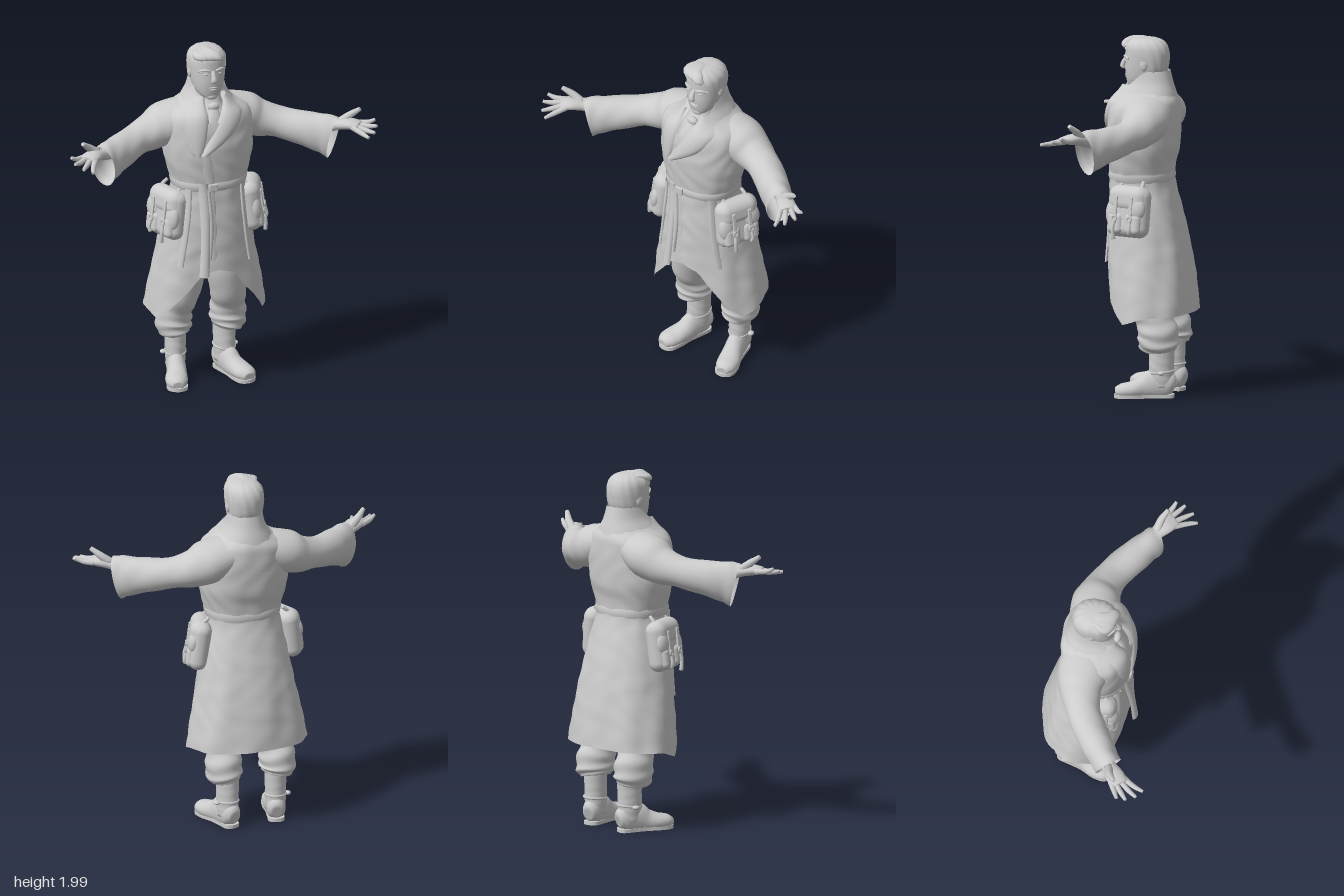
import * as THREE from 'three';
import { RoundedBoxGeometry } from 'three/addons/geometries/RoundedBoxGeometry.js';

const mat = new THREE.MeshStandardMaterial({ color: 0xcccccc, side: THREE.DoubleSide });
const { lerp, smoothstep } = THREE.MathUtils;

// Body profiles, bottom to top: [y, half width, front z, back z]
const COAT = [[.4, .345, .13, -.362], [.6, .315, .14, -.342], [.8, .277, .14, -.312], [1, .242, .14, -.267],
  [1.2, .207, .135, -.217], [1.28, .224, .14, -.222], [1.38, .247, .15, -.245], [1.5, .25, .15, -.252],
  [1.58, .25, .14, -.252], [1.635, .23, .122, -.245], [1.68, .15, .095, -.225], [1.73, .11, .06, -.205], [1.78, .09, .03, -.188]];
const HEAD = [[1.692, .014, .022, -.02], [1.712, .05, .036, -.07], [1.75, .078, .046, -.13], [1.8, .092, .053, -.172],
  [1.85, .098, .053, -.184], [1.9, .1, .053, -.186], [1.94, .094, .05, -.175], [1.968, .073, .034, -.15], [1.984, .04, .005, -.11], [1.989, 0, -.05, -.05]];
const SHIRT = [[1.52, .13, .12, -.15], [1.62, .1, .085, -.14], [1.68, .075, .045, -.14], [1.74, .065, .015, -.14]];
const COLLAR = [[1.64, .165, .11, -.235], [1.69, .133, .085, -.222], [1.74, .103, .055, -.207], [1.81, .084, .03, -.19]];

// Smooth lookup of a profile at height y
function at(table, y) {
  const last = table.length - 1;
  y = Math.min(Math.max(y, table[0][0]), table[last][0]);
  let i = 0;
  while (i < last - 1 && y > table[i + 1][0]) i++;
  const a = table[i], b = table[i + 1], p = table[Math.max(i - 1, 0)], q = table[Math.min(i + 2, last)];
  const h = b[0] - a[0], t = (y - a[0]) / h, t2 = t * t, t3 = t2 * t;
  return [1, 2, 3].map(k => (2 * t3 - 3 * t2 + 1) * a[k] + (3 * t2 - 2 * t3) * b[k]
    + (t3 - 2 * t2 + t) * h * (b[k] - p[k]) / (b[0] - p[0]) + (t3 - t2) * h * (q[k] - a[k]) / (q[0] - a[0]));
}

// Skin over rows of points
function skin(rows, closed = true) {
  const n = rows[0].length, idx = [];
  for (let i = 0; i < rows.length - 1; i++)
    for (let j = 0; j < (closed ? n : n - 1); j++) {
      const a = i * n + j, b = i * n + (j + 1) % n;
      idx.push(a, b, a + n, b, b + n, a + n);
    }
  const g = new THREE.BufferGeometry();
  g.setAttribute('position', new THREE.BufferAttribute(new Float32Array(rows.flat(2)), 3));
  g.setIndex(idx);
  g.computeVertexNormals();
  return g;
}

// Skin round a profile; lower and upper edges vary with the angle from the front
function shell(table, lo, hi, { grow = 0, fold = () => 0, gap = 0, rows = 24, n = 56 } = {}) {
  const pw = v => Math.sign(v) * Math.abs(v) ** .9;
  const out = [];
  for (let i = 0; i <= rows; i++) {
    const row = [];
    for (let j = 0; j < n; j++) {
      const th = gap ? lerp(gap, 2 * Math.PI - gap, j / (n - 1)) : j / n * 2 * Math.PI;
      const a = Math.min(th, 2 * Math.PI - th);
      const y = lerp(lo(a), hi(a), Math.sin(i / rows * Math.PI / 2));
      const [rx, zf, zb] = at(table, y), g = grow + fold(th, y);
      row.push([(rx + g) * pw(Math.sin(th)), y, (zf + zb) / 2 + ((zf - zb) / 2 + g) * pw(Math.cos(th))]);
    }
    out.push(row);
  }
  return skin(out, !gap);
}

// Limb with oval sections: points [x, y, z, radius along ref, radius across]
function limb(pts, { ref = [0, 1, 0], steps = 20, n = 16, open = false, wave = 0, floor = -1 } = {}) {
  const path = new THREE.CatmullRomCurve3(pts.map(p => new THREE.Vector3(p[0], p[1], p[2])));
  const rad = new THREE.CatmullRomCurve3(pts.map(p => new THREE.Vector3(p[3], p[4] ?? p[3], 0)));
  const R = new THREE.Vector3(...ref), rows = [];
  for (let i = 0; i <= steps; i++) {
    const t = i / steps, c = path.getPoint(t), r = rad.getPoint(t), T = path.getTangent(t);
    const A = T.clone().cross(R).normalize(), B = A.clone().cross(T);
    const ring = k => Array.from({ length: n }, (_, j) => {
      const th = j / n * 2 * Math.PI, w = k * (1 + wave * Math.sin(t * 34 + 2.5 * Math.sin(th + 1) + Math.cos(2 * th)) * t);
      const v = c.clone().addScaledVector(A, r.y * w * Math.sin(th)).addScaledVector(B, r.x * w * Math.cos(th));
      return [v.x, Math.max(v.y, floor), v.z];
    });
    if (i === 0 && !open) rows.push(ring(0), ring(.7));
    rows.push(ring(1));
    if (i === steps && !open) rows.push(ring(.7), ring(0));
  }
  return skin(rows);
}

// Raised strip lying on the coat front: points [x left, x right, y, lift]
function strip(pts, bulge) {
  const edge = new THREE.CatmullRomCurve3(pts.map(p => new THREE.Vector3(p[0], p[1], p[2])));
  const lift = new THREE.CatmullRomCurve3(pts.map(p => new THREE.Vector3(p[3] ?? 0, 0, p[2])));
  const rows = [];
  for (let i = 24; i >= 0; i--) {
    const e = edge.getPoint(i / 24), l = lift.getPoint(i / 24).x, row = [];
    for (let j = 0; j <= 10; j++) {
      const x = lerp(e.x, e.y, j / 10), [rx, zf, zb] = at(COAT, e.z);
      const u = Math.min(Math.abs(x / rx), .97) ** (2 / .9);
      row.push([x, e.z, (zf + zb) / 2 + (zf - zb) / 2 * (1 - u) ** .45 - .006 + l
        + bulge * Math.sqrt(Math.sin(Math.PI * j / 10))]);
    }
    rows.push(row);
  }
  return skin(rows, false);
}

export function createModel() {
  const model = new THREE.Group();
  const add = (name, geo, parent = model, pos = [0, 0, 0]) => {
    const m = new THREE.Mesh(geo, mat);
    m.name = name;
    m.position.set(...pos);
    parent.add(m);
    return m;
  };
  const blob = (name, pos, size, parent) => add(name, new THREE.SphereGeometry(1, 16, 12), parent, pos).scale.set(...size);

  // Long coat, with its hem swept up at the front
  const HEM = [[0, .73, 0, 0], [.28, .7, 0, 0], [.5, .61, 0, 0], [.8, .505, 0, 0], [1.08, .42, 0, 0], [1.3, .435, 0, 0], [1.6, .462, 0, 0], [3.15, .478, 0, 0]];
  const hem = a => {
    const i = Math.max(1, HEM.findIndex(h => h[0] >= a)), [p, q] = [HEM[i - 1], HEM[i]];
    return lerp(p[1], q[1], (a - p[0]) / (q[0] - p[0]));
  };
  const folds = (th, y) => .005 * Math.cos(th * 8 + Math.sin(y * 5)) * smoothstep(1.2 - y, 0, .6)
    + .0035 * Math.sin(th * 7 + 2 * Math.sin(y * 19)) * Math.sin(y * 27 + 2 * Math.sin(th * 3));
  add('coat', shell(COAT, hem, a => 1.6 + .17 * smoothstep(a, .3, 1.3), { fold: folds, rows: 60, n: 80 }));
  const collarTop = a => 1.7 + .105 * smoothstep(a, .5, 1.7);
  add('collar', shell(COLLAR, () => 1.64, collarTop, { gap: .5, grow: .006 }));
  add('collarLining', shell(COLLAR, () => 1.66, collarTop, { gap: .5, grow: -.006 }));
  add('rightLapel', strip([[-.09, -.05, 1.73], [-.14, -.055, 1.69], [-.18, -.05, 1.62], [-.18, -.065, 1.52], [-.16, -.085, 1.44], [-.14, -.1, 1.415]], .022));
  add('leftLapel', strip([[.05, .09, 1.73], [.045, .135, 1.69], [.015, .16, 1.63], [-.03, .115, 1.55], [-.07, .03, 1.48], [-.11, -.06, 1.42]], .025));
  add('coatOverlap', strip([[-.11, -.05, 1.43], [-.09, -.02, 1.3], [-.07, -.01, 1.1], [-.06, 0, .9], [-.05, .01, .73]], .01));

  // Belt, its hanging ends and buckle
  add('belt', shell(COAT, () => 1.195, () => 1.245, { fold: (th, y) => .006 - ((y - 1.22) / .025) ** 2 * .006, rows: 8 }));
  add('buckle', new RoundedBoxGeometry(.05, .045, .014, 3, .006), model, [-.03, 1.22, .143]);
  add('beltTail', strip([[-.11, -.06, 1.25, .008], [-.105, -.05, 1.1, .013], [-.105, -.055, .9, .03], [-.12, -.065, .71, .048]], .016));
  add('beltEnd', strip([[-.075, -.045, 1.22, .008], [-.065, -.03, 1, .015], [-.07, -.045, .8, .025]], .014));

  // Shirt, scarf knot and head
  add('shirt', shell(SHIRT, () => 1.52, () => 1.74));
  blob('scarfKnot', [0, 1.67, .06], [.034, .024, .022]);
  add('scarfEnd', limb([[0, 1.66, .065, .012, .025], [-.01, 1.6, .1, .014, .04], [-.03, 1.53, .13, .012, .04]], { ref: [0, 0, 1] }));
  const head = new THREE.Group();
  head.name = 'head';
  model.add(head);
  add('neck', limb([[0, 1.58, -.07, .07], [0, 1.7, -.065, .066], [0, 1.8, -.07, .065]], { ref: [0, 0, 1] }), head);
  add('face', shell(HEAD, () => 1.692, () => 1.989, { rows: 36 }), head);
  add('nose', limb([[0, 1.875, .046, .009, .011], [0, 1.848, .062, .013, .013], [0, 1.822, .07, .014, .018], [0, 1.812, .058, .008, .014]], { ref: [0, 0, 1] }), head);
  blob('upperLip', [0, 1.776, .047], [.028, .006, .009], head);
  blob('lowerLip', [0, 1.763, .045], [.022, .007, .009], head);
  blob('chin', [0, 1.718, .023], [.034, .022, .02], head);

  // Hair: a cap with a shaped hairline and a front swept over to one side
  const line = a => a < 1.1 ? lerp(1.935, 1.915, a / 1.1) : a < 1.45 ? lerp(1.915, 1.835, (a - 1.1) / .35) : lerp(1.865, 1.77, smoothstep(a, 1.5, 2.4));
  add('hair', shell(HEAD, line, () => 1.989, { grow: .006, fold: (th, y) => .0015 * Math.sin(th * 14 + y * 30), rows: 24, n: 72 }), head);
  for (let i = 0; i < 3; i++) {
    const x = -i * .03, z = -.008 * i;
    add('hairLock', limb([[x + .055, 1.937, .034 + z, .01, .018], [x + .03, 1.957, .042 + z, .02, .032], [x - .005, 1.969 - i * .006, .018 + z, .022, .036],
      [x * .6 - .015, 1.976 - i * .005, -.04, .017, .034], [x * .5 - .01, 1.965, -.1, .01, .025]], { ref: [0, 1, .4] }), head);
  }

  for (const s of [1, -1]) {
    const side = s > 0 ? 'left' : 'right';
    const mx = pts => pts.map(([x, ...rest]) => [x * s, ...rest]);

    // Face details
    add(side + 'Brow', limb(mx([[.014, 1.877, .052, .006], [.045, 1.884, .047, .008], [.078, 1.873, .02, .005]])), head);
    blob(side + 'Eye', [.037 * s, 1.858, .041], [.016, .007, .01], head);
    blob(side + 'Ear', [.098 * s, 1.84, -.07], [.011, .032, .021], head);

    // Arm: open sleeve blending into the shoulder, hand and fingers
    add(side + 'Sleeve', limb(mx([[.04, 1.6, -.09, .075, .12], [.13, 1.58, -.095, .1, .138], [.225, 1.543, -.1, .12, .136], [.31, 1.51, -.087, .104, .11],
      [.42, 1.485, -.045, .086, .092], [.54, 1.46, .035, .098, .09], [.62, 1.445, .095, .114, .08], [.67, 1.43, .135, .125, .076]]),
      { steps: 48, n: 28, open: true, wave: .022 }));
    add(side + 'Hand', limb(mx([[.54, 1.47, .03, .04, .04], [.66, 1.495, .12, .034, .036], [.7, 1.507, .148, .03, .04],
      [.75, 1.518, .187, .03, .052], [.795, 1.516, .224, .019, .05]])));
    const fingers = { index: [.812, .188, .885, 1.54, .222], middle: [.8, .206, .88, 1.52, .272],
      ring: [.782, .226, .848, 1.503, .325], little: [.763, .24, .803, 1.49, .355] };
    for (const [k, [x, z, tx, ty, tz]] of Object.entries(fingers))
      add(side + k + 'Finger', limb(mx([[x - .02, 1.516, z - .016, .016], [lerp(x, tx, .5), lerp(1.515, ty, .5) - .006, lerp(z, tz, .5), .0145],
        [tx, ty, tz, .009]]), { steps: 10, n: 10 }));
    add(side + 'Thumb', limb(mx([[.71, 1.52, .145, .026], [.76, 1.56, .16, .021], [.808, 1.6, .19, .012]]), { steps: 10, n: 10 }));

    // Trouser leg, bloused over the boot
    add(side + 'Trouser', limb(mx([[.1, .85, -.08, .12, .1], [.115, .66, -.08, .12, .105], [.138, .52, -.105, .112, .102], [.152, .43, -.145, .103, .093],
      [.158, .36, -.165, .115, .1], [.156, .3, -.17, .114, .098], [.15, .268, -.172, .09, .078]]),
      { ref: [0, 0, 1], steps: 48, n: 28, wave: .05 }));

    // Boot with sole and ankle strap
    const boot = new THREE.Group();
    boot.name = side + 'Boot';
    boot.position.set(.142 * s, 0, -.183);
    boot.rotation.y = s * .24;
    model.add(boot);
    add('shaft', limb([[0, .33, 0, .075, .065], [0, .24, 0, .07, .06], [0, .15, .002, .07, .058], [0, .06, 0, .068, .054]],
      { ref: [0, 0, 1], n: 24, wave: .025 }), boot);
    add('foot', limb([[0, .06, -.07, .04, .035], [0, .07, -.04, .075, .052], [0, .07, .04, .088, .053], [0, .052, .1, .066, .055],
      [.008 * s, .042, .17, .048, .063], [.008 * s, .038, .22, .042, .057], [.005 * s, .033, .255, .026, .032]], { n: 24, floor: .012 }), boot);
    const outline = [[0, -.07], [.04, -.055], [.045, .02], [.048, .09], [.064, .17], [.054, .24], [.005, .264], [-.044, .24], [-.052, .17], [-.044, .09], [-.045, .02], [-.04, -.055]];
    const sole = new THREE.Shape(new THREE.CatmullRomCurve3(outline.map(([x, z]) => new THREE.Vector3(x * s, -z, 0)), true).getPoints(48).map(p => new THREE.Vector2(p.x, p.y)));
    add('sole', new THREE.ExtrudeGeometry(sole, { depth: .02, bevelEnabled: false }), boot).rotation.x = -Math.PI / 2;
    const strap = add('ankleStrap', new THREE.TorusGeometry(.056, .007, 8, 28), boot, [0, .145, 0]);
    strap.rotation.x = Math.PI / 2 + .1;
    strap.scale.y = 1.2;
    blob('strapBuckle', [.068 * s, .143, .005], [.018, .012, .02], boot);

    // Lumpy satchel on the hip, leaning in at the top
    const bag = new THREE.Group();
    bag.name = side + 'Satchel';
    bag.position.set(.243 * s, 1.045, -.022);
    bag.rotation.set(-.13, s * 1.2, 0, 'YXZ');
    model.add(bag);
    add('bagBody', new RoundedBoxGeometry(.255, .28, .11, 6, .054), bag);
    add('bagFlap', new RoundedBoxGeometry(.245, .15, .118, 6, .058), bag, [0, .07, .006]);
    blob('bagBulge', [.07 * s, .02, .035], [.055, .07, .035], bag);
    blob('bagBulge', [-.08 * s, -.01, .03], [.05, .08, .035], bag);
    for (const k of [-1, 1]) {
      add('pocket', new RoundedBoxGeometry(.1, .12, .06, 5, .029), bag, [k * .058, -.065, .038]);
      add('bagStrap', new RoundedBoxGeometry(.022, .15, .012, 2, .005), bag, [k * .05, .01, .067]);
      add('bagBuckle', new THREE.TorusGeometry(.014, .006, 6, 12), bag, [k * .05, -.04, .072]);
      add('strapEnd', limb([[k * .05, -.05, .068, .009], [k * .055, -.1, .073, .01], [k * .05, k * s > 0 ? -.12 : -.155, .064, .012]], { ref: [0, 0, 1], steps: 8, n: 8 }), bag);
      add('beltLoop', limb([[k * .07, .1, .02, .01], [k * .07, .14, -.005, .011], [k * .06, .17, -.03, .01]], { ref: [1, 0, 0], steps: 8, n: 8 }), bag);
    }

    // Long strap hanging from the belt in front of the satchel
    const x = [.155, .165, .185, .205].map(v => v * s);
    add(side + 'HangingStrap', strip([1.21, 1.05, .88, .75].map((y, i) => [x[i] - .017, x[i] + .017, y, .006]), .016));
  }
  return model;
}
